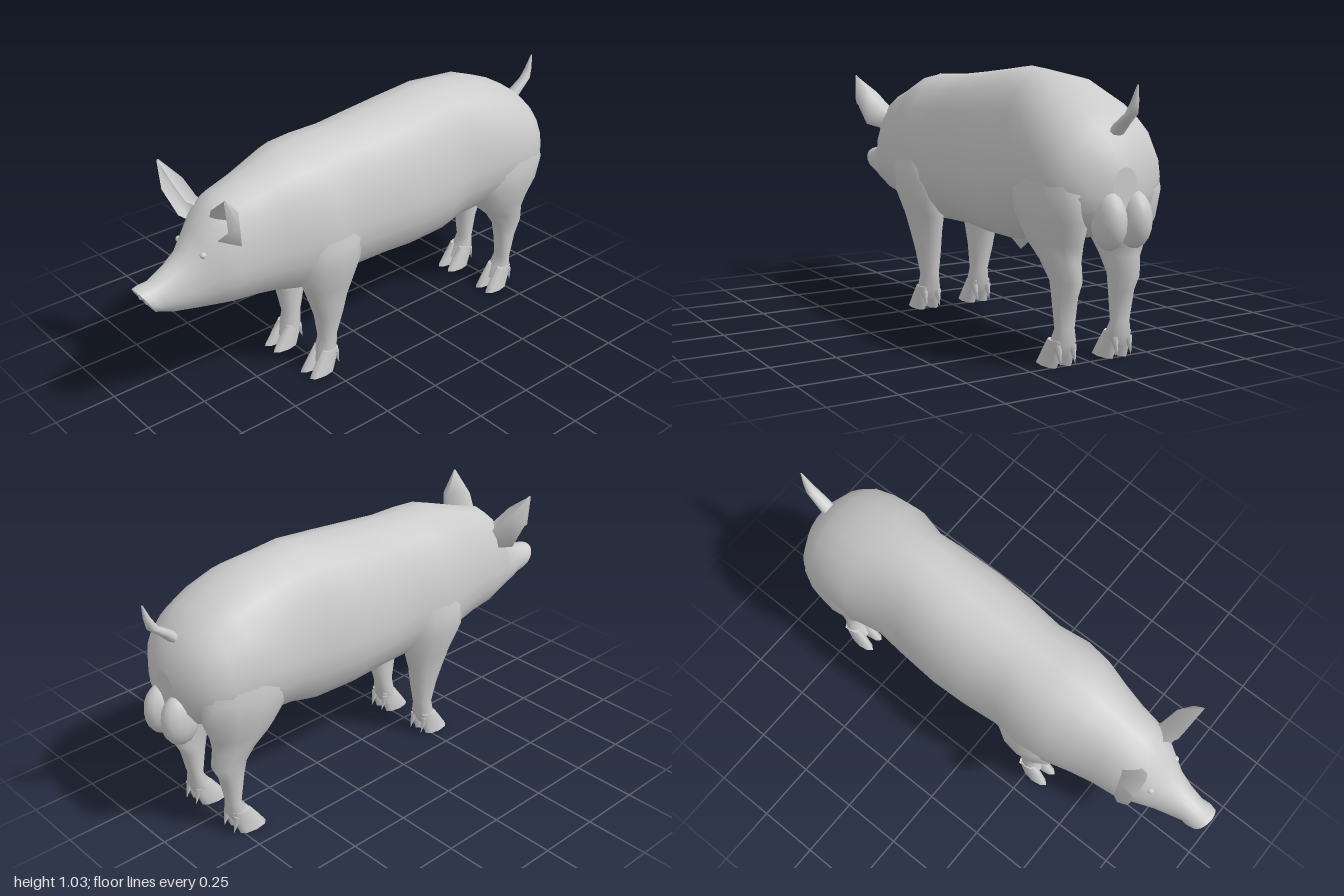
import * as THREE from 'three';

const SIDES = 20;
const skin = new THREE.MeshStandardMaterial({ color: 0xcccccc });
const thinSkin = new THREE.MeshStandardMaterial({ color: 0xcccccc, side: THREE.DoubleSide });

// Closed, smooth skin through a list of rings; winding follows from the signed volume.
function loft(rings) {
  const n = rings[0].length, verts = rings.flat(), index = [];
  for (let r = 0; r < rings.length - 1; r++) {
    for (let i = 0; i < n; i++) {
      const a = r * n + i, b = r * n + (i + 1) % n;
      index.push(a, b, a + n, b, b + n, a + n);
    }
  }
  // End caps get their own rim so the edge stays sharp
  [[rings[0], true], [rings[rings.length - 1], false]].forEach(([ring, first]) => {
    const start = verts.length;
    const mid = ring.reduce((s, p) => s.add(p), new THREE.Vector3()).divideScalar(n);
    verts.push(...ring, mid);
    for (let i = 0; i < n; i++) {
      const a = start + i, b = start + (i + 1) % n;
      index.push(...(first ? [b, a, start + n] : [a, b, start + n]));
    }
  });
  let volume = 0;
  const c = new THREE.Vector3();
  for (let i = 0; i < index.length; i += 3) {
    volume += verts[index[i]].dot(c.crossVectors(verts[index[i + 1]], verts[index[i + 2]]));
  }
  if (volume < 0) index.reverse();
  const g = new THREE.BufferGeometry().setFromPoints(verts);
  g.setIndex(index);
  g.computeVertexNormals();
  return g;
}

// Upright ring across the body: widest at yc, sheared along z by tilt
function bodyRing([z, bottom, top, w, yc, tilt = 0]) {
  return Array.from({ length: SIDES }, (_, i) => {
    const a = i / SIDES * Math.PI * 2, s = Math.sin(a), c = Math.cos(a);
    const y = s * (s > 0 ? top - yc : yc - bottom);
    return new THREE.Vector3(w * Math.sign(c) * Math.abs(c) ** 0.9, yc + y, z + tilt * y);
  });
}

// Level ring for legs, toes and tail
function levelRing(y, x0, x1, z0, z1, n = 12) {
  return Array.from({ length: n }, (_, i) => {
    const a = i / n * Math.PI * 2;
    return new THREE.Vector3((x0 + x1) / 2 + (x1 - x0) / 2 * Math.cos(a), y,
      (z0 + z1) / 2 + (z1 - z0) / 2 * Math.sin(a));
  });
}

function add(parent, name, geometry, material = skin) {
  const m = new THREE.Mesh(geometry, material);
  m.name = name;
  parent.add(m);
  return m;
}

function blob(parent, name, pos, scale) {
  const m = add(parent, name, new THREE.SphereGeometry(1, 14, 10));
  m.position.set(...pos);
  m.scale.set(...scale);
  return m;
}

// z, bottom, top, half width, widest height, tilt
const BODY = [
  [0.967, 0.498, 0.600, 0.056, 0.55, 0.62], [0.945, 0.492, 0.606, 0.060, 0.55, 0.55],
  [0.915, 0.480, 0.612, 0.056, 0.55, 0.3], [0.86, 0.467, 0.650, 0.068, 0.55],
  [0.80, 0.455, 0.692, 0.086, 0.56], [0.755, 0.447, 0.755, 0.108, 0.58],
  [0.71, 0.440, 0.820, 0.130, 0.60], [0.65, 0.430, 0.872, 0.152, 0.61],
  [0.55, 0.420, 0.903, 0.166, 0.62], [0.45, 0.405, 0.938, 0.190, 0.63],
  [0.35, 0.378, 0.970, 0.220, 0.64], [0.25, 0.372, 0.975, 0.236, 0.64],
  [0.12, 0.378, 0.980, 0.215, 0.64], [-0.03, 0.385, 0.993, 0.232, 0.64],
  [-0.18, 0.376, 1.008, 0.237, 0.64], [-0.36, 0.375, 1.027, 0.225, 0.65],
  [-0.47, 0.405, 1.018, 0.217, 0.66], [-0.60, 0.430, 1.000, 0.250, 0.68],
  [-0.72, 0.440, 0.955, 0.246, 0.68], [-0.81, 0.460, 0.905, 0.232, 0.67],
  [-0.875, 0.490, 0.850, 0.195, 0.66], [-0.92, 0.520, 0.785, 0.125, 0.65],
  [-0.94, 0.570, 0.710, 0.050, 0.64],
];

// y, inner x, outer x, rear z, front z
const FRONT_LEG = [
  [0.72, 0.10, 0.21, 0.15, 0.33], [0.60, 0.08, 0.245, 0.11, 0.38], [0.50, 0.07, 0.238, 0.11, 0.39],
  [0.40, 0.065, 0.205, 0.13, 0.355], [0.33, 0.07, 0.190, 0.155, 0.325], [0.25, 0.075, 0.175, 0.17, 0.295],
  [0.15, 0.08, 0.156, 0.195, 0.275], [0.09, 0.07, 0.165, 0.20, 0.285], [0.045, 0.08, 0.165, 0.225, 0.295],
];
const HIND_LEG = [
  [0.76, 0.08, 0.225, -0.86, -0.55], [0.62, 0.05, 0.252, -0.90, -0.50], [0.52, 0.045, 0.238, -0.885, -0.53],
  [0.44, 0.05, 0.212, -0.85, -0.58], [0.38, 0.06, 0.190, -0.835, -0.65], [0.31, 0.07, 0.172, -0.845, -0.70],
  [0.25, 0.075, 0.165, -0.815, -0.715], [0.14, 0.08, 0.156, -0.79, -0.735], [0.09, 0.07, 0.165, -0.795, -0.71],
  [0.045, 0.08, 0.165, -0.77, -0.69],
];

function addLeg(parent, name, rows, tipZ, s) {
  const leg = new THREE.Group();
  leg.name = name;
  parent.add(leg);
  const ring = (r, n) => levelRing(r[0], s * r[1], s * r[2], r[3], r[4], n);
  add(leg, 'limb', loft(rows.map(r => ring(r))));
  // Cloven hoof with a dewclaw behind each toe
  for (const side of [-1, 1]) {
    const x = 0.12 + side * 0.027;
    add(leg, 'toe', loft([
      [0.10, x - 0.020, x + 0.020, tipZ - 0.145, tipZ - 0.07],
      [0.045, x - 0.024, x + 0.024, tipZ - 0.135, tipZ - 0.03],
      [0, x - 0.024 + side * 0.003, x + 0.024 + side * 0.003, tipZ - 0.12, tipZ],
    ].map(r => ring(r, 8))));
    const claw = add(leg, 'dewclaw', new THREE.ConeGeometry(0.016, 0.07, 6));
    claw.position.set(s * (0.12 + side * 0.03), 0.048, tipZ - 0.14);
    claw.rotation.x = Math.PI + 0.3;
  }
}

// Cupped ear: four columns from inner edge, round the back, to the lower front edge
const EAR = [
  [[0.06, 0.80, 0.68], [0.08, 0.77, 0.62], [0.12, 0.72, 0.65], [0.09, 0.74, 0.70]],
  [[0.075, 0.83, 0.72], [0.125, 0.81, 0.645], [0.195, 0.745, 0.67], [0.125, 0.755, 0.725]],
  [[0.11, 0.875, 0.735], [0.175, 0.87, 0.665], [0.232, 0.85, 0.70], [0.212, 0.83, 0.735]],
  [[0.208, 0.952, 0.745], [0.209, 0.955, 0.738], [0.212, 0.955, 0.742], [0.212, 0.950, 0.746]],
];
function earGeometry(s) {
  const index = [];
  for (let r = 0; r < 3; r++) {
    for (let c = 0; c < 3; c++) {
      const a = r * 4 + c;
      const quad = [a, a + 4, a + 1, a + 1, a + 4, a + 5];
      index.push(...(s > 0 ? quad : quad.reverse()));
    }
  }
  const g = new THREE.BufferGeometry().setFromPoints(
    EAR.flat().map(([x, y, z]) => new THREE.Vector3(s * x, y, z)));
  g.setIndex(index);
  g.computeVertexNormals();
  return g;
}

export function createModel() {
  const pig = new THREE.Group();
  pig.name = 'pig';

  add(pig, 'body', loft(BODY.map(bodyRing)));

  for (const [side, s] of [['left', 1], ['right', -1]]) {
    addLeg(pig, side + 'FrontLeg', FRONT_LEG, 0.35, s);
    addLeg(pig, side + 'HindLeg', HIND_LEG, -0.64, s);
    add(pig, side + 'Ear', earGeometry(s), thinSkin);
    blob(pig, side + 'Eye', [s * 0.078, 0.69, 0.757], [0.013, 0.012, 0.014]);
    blob(pig, side + 'Nostril', [s * 0.021, 0.555, 0.968], [0.009, 0.013, 0.006]);
    blob(pig, side + 'Testicle', [s * 0.052, 0.53, -0.92], [0.055, 0.10, 0.074]);
  }

  // Tail, tapering up and back
  add(pig, 'tail', loft([
    [0.80, -0.86, 0.03], [0.85, -0.912, 0.028], [0.89, -0.965, 0.022],
    [0.93, -0.982, 0.014], [0.985, -0.997, 0.003],
  ].map(([y, z, r]) => levelRing(y, -r, r, z - r, z + r, 8))));

  // Sheath under the belly
  const sheath = add(pig, 'sheath', new THREE.ConeGeometry(1, 0.08, 10));
  sheath.scale.set(0.06, 1, 0.1);
  sheath.rotation.x = Math.PI;
  sheath.position.set(0, 0.368, -0.29);

  return pig;
}
